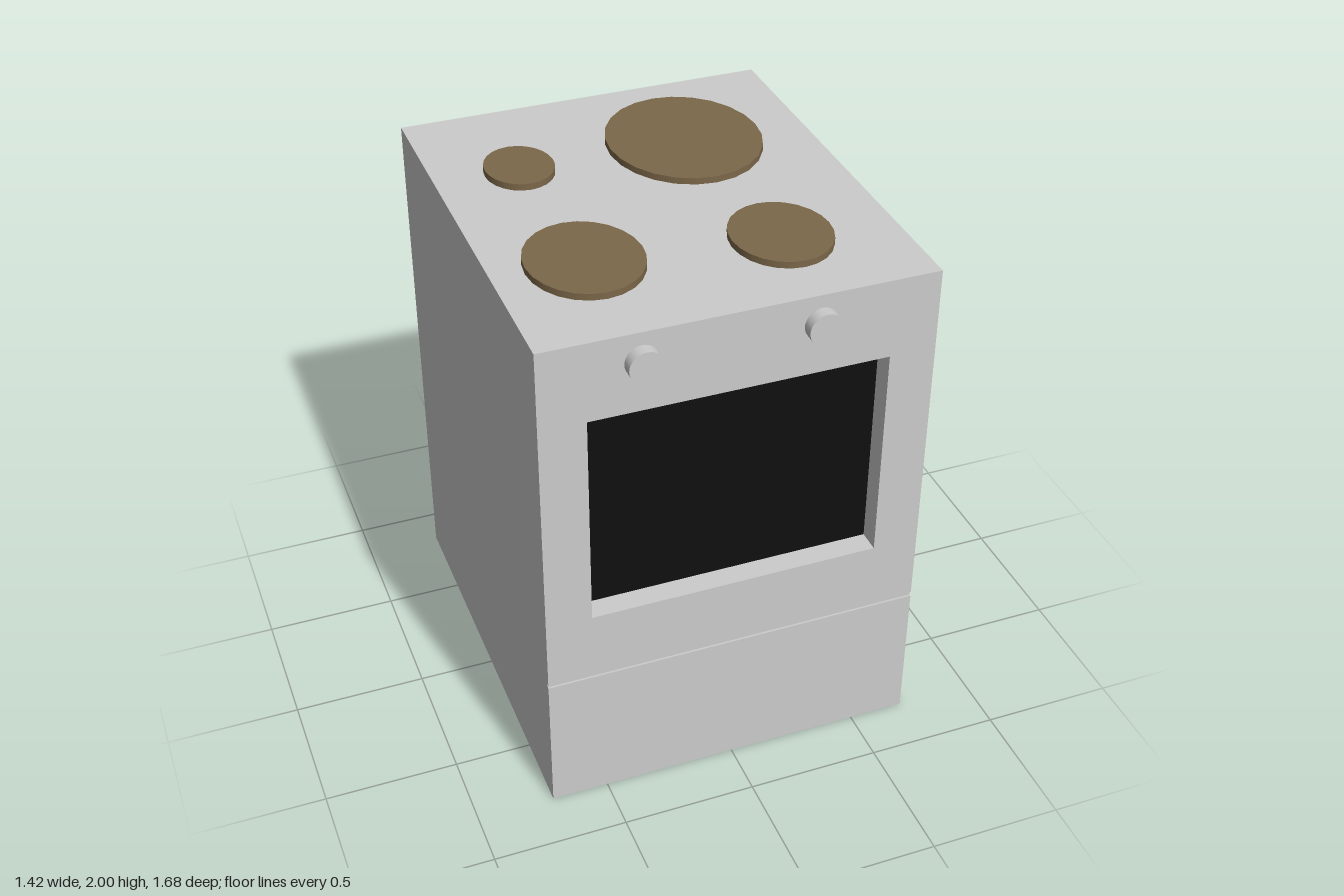
import * as THREE from 'three';

const W = 1.424, TOP = 1.975, BACK = -0.84, FRONT = 0.795, RECESS = 0.088;

export function createModel() {
  const model = new THREE.Group();
  const enamel = new THREE.MeshStandardMaterial({ color: 0xcccccc });
  const glass = new THREE.MeshStandardMaterial({ color: 0x0f0f0f });
  const iron = new THREE.MeshStandardMaterial({ color: 0x7c684a });

  const add = (name, geometry, material, x, y, z) => {
    const mesh = new THREE.Mesh(geometry, material);
    mesh.name = name;
    mesh.position.set(x, y, z);
    model.add(mesh);
    return mesh;
  };
  // Full-width slab between two heights, running from the back to zFront
  const slab = (name, y0, y1, zFront) =>
    add(name, new THREE.BoxGeometry(W, y1 - y0, zFront - BACK), enamel, 0, (y0 + y1) / 2, (BACK + zFront) / 2);

  // Cabinet: drawer, shadow gap above it, and oven body
  slab('drawer', 0, 0.555, FRONT);
  slab('drawerGap', 0.555, 0.573, FRONT - 0.008);
  slab('ovenBody', 0.573, TOP, FRONT - RECESS);

  // Oven front with a rectangular window opening
  const [x0, x1, y0, y1] = [-0.543, 0.54, 0.835, 1.672];
  const rect = (Type, a, b, c, d) => new Type([[a, c], [b, c], [b, d], [a, d]].map(p => new THREE.Vector2(...p)));
  const face = rect(THREE.Shape, -W / 2, W / 2, 0.573, TOP);
  face.holes.push(rect(THREE.Path, x0, x1, y0, y1));
  add('ovenFront', new THREE.ExtrudeGeometry(face, { depth: RECESS, bevelEnabled: false }), enamel, 0, 0, FRONT - RECESS);

  // Dark glass at the back of the opening
  add('ovenWindow', new THREE.PlaneGeometry(x1 - x0, y1 - y0), glass, (x0 + x1) / 2, (y0 + y1) / 2, FRONT - RECESS + 0.002);

  // Control knobs
  for (const x of [-0.352, 0.277]) {
    add('knob', new THREE.CylinderGeometry(0.061, 0.061, 0.045, 32), enamel, x, 1.865, FRONT + 0.0225).rotation.x = Math.PI / 2;
  }

  // Slightly oval hotplates: x, z, half width, half depth
  const plates = [
    [-0.398, -0.36, 0.128, 0.148],
    [0.237, -0.36, 0.287, 0.33],
    [-0.387, 0.33, 0.207, 0.24],
    [0.294, 0.407, 0.18, 0.207],
  ];
  for (const [x, z, rx, rz] of plates) {
    add('hotplate', new THREE.CylinderGeometry(1, 1, 0.025, 24).scale(rx, 1, rz), iron, x, TOP + 0.0125, z);
  }
  return model;
}
